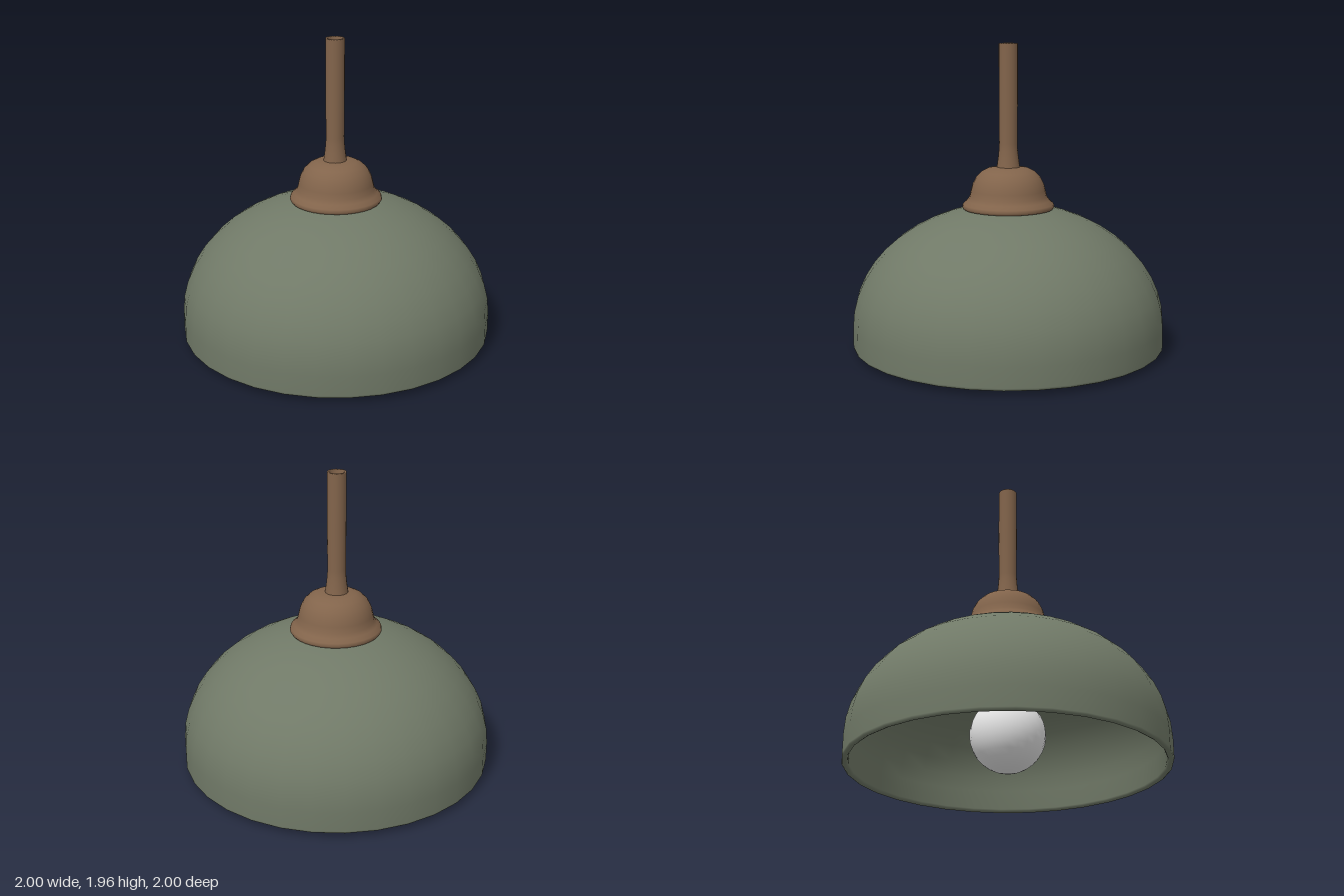
import * as THREE from 'three';

const SIDES = 32;

function material(name, color) {
  const m = new THREE.MeshStandardMaterial({ color });
  m.name = name;
  return m;
}

// Turned part: profile points are [radius, height], outer side running upwards
function turned(name, profile, mat, sides = SIDES) {
  const points = profile.map(([r, y]) => new THREE.Vector2(r, y));
  const mesh = new THREE.Mesh(new THREE.LatheGeometry(points, sides), mat);
  mesh.name = name;
  return mesh;
}

export function createModel() {
  const green = material('sage green', 0x707967);
  const brown = material('warm brown', 0x82644b);
  const white = material('bulb white', 0xe6e6e6);
  const lamp = new THREE.Group();
  lamp.name = 'pendantLamp';

  // Dome shade: inner skin down, rounded rim, outer skin up
  const dome = (radius, height) => {
    const pts = [];
    for (let i = 0; i <= 12; i++) {
      const a = (i / 12) * Math.PI / 2;
      pts.push([radius * Math.cos(a), 0.17 + height * Math.sin(a)]);
    }
    return pts;
  };
  lamp.add(turned('shade', [
    ...dome(0.955, 0.72).reverse(),
    [0.96, 0.045], [0.967, 0.033], [0.978, 0.028], [0.99, 0.028], [0.998, 0.034], [1, 0.045],
    ...dome(1, 0.77),
  ], green));

  // Bell-shaped cap over the shade
  lamp.add(turned('cap', [
    [0, 0.908], [0.27, 0.908], [0.287, 0.912], [0.295, 0.925], [0.29, 0.943],
    [0.265, 0.965], [0.247, 0.99], [0.238, 1.03], [0.228, 1.07], [0.205, 1.115],
    [0.17, 1.15], [0.13, 1.17], [0.08, 1.178], [0, 1.18],
  ], brown));

  // Stem with flared foot and hollow top
  const stem = turned('stem', [
    [0.075, 1.17], [0.072, 1.19], [0.065, 1.24], [0.06, 1.29], [0.058, 1.33],
    [0.06, 1.6], [0.06, 1.955], [0.058, 1.96], [0.05, 1.96], [0.047, 1.955],
    [0.045, 1.9], [0.03, 1.87], [0, 1.86],
  ], brown, 20);
  stem.position.x = -0.005;
  lamp.add(stem);

  // Round bulb running into its neck
  const bulb = [];
  for (let i = 0; i <= 14; i++) {
    const a = (i / 14) * Math.PI * 0.84;
    bulb.push([0.235 * Math.sin(a), 0.235 - 0.235 * Math.cos(a)]);
  }
  bulb.push([0.1, 0.49], [0.1, 0.53], [0.1, 0.6], [0, 0.6]);
  lamp.add(turned('bulb', bulb, white, 24));

  // Socket holding the bulb under the shade
  lamp.add(turned('socket', [
    [0, 0.59], [0.115, 0.59], [0.12, 0.6], [0.12, 0.9],
  ], brown, 24));

  return lamp;
}
